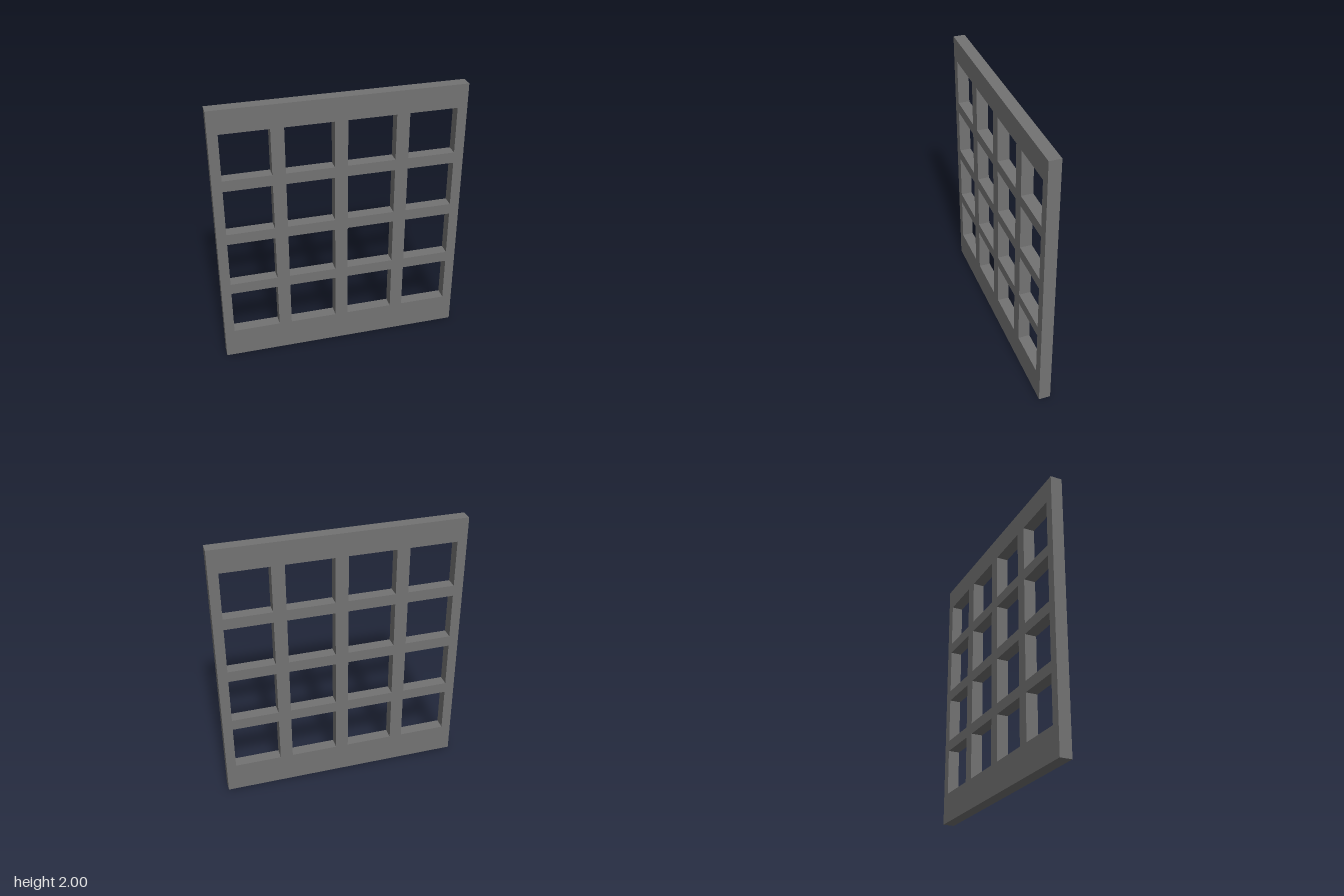
import * as THREE from 'three';

const WIDTH = 1.784, HEIGHT = 2, DEPTH = 0.085;
const HOLE = 0.341;          // side of each square opening
const STEP_X = 0.434, STEP_Y = 0.4223;
const FIRST_Y = 0.392;       // centre height of the lowest row

// Closed rectangle around a centre point
function rectangle(target, cx, cy, w, h) {
  target.moveTo(cx - w / 2, cy - h / 2);
  target.lineTo(cx + w / 2, cy - h / 2);
  target.lineTo(cx + w / 2, cy + h / 2);
  target.lineTo(cx - w / 2, cy + h / 2);
  target.closePath();
  return target;
}

export function createModel() {
  const model = new THREE.Group();
  model.name = 'windowLattice';

  // Solid panel with a 4 x 4 grid of square openings
  const panel = rectangle(new THREE.Shape(), 0, HEIGHT / 2, WIDTH, HEIGHT);
  for (let row = 0; row < 4; row++) {
    for (let col = 0; col < 4; col++) {
      const x = (col - 1.5) * STEP_X;
      const y = FIRST_Y + row * STEP_Y;
      panel.holes.push(rectangle(new THREE.Path(), x, y, HOLE, HOLE));
    }
  }

  const geometry = new THREE.ExtrudeGeometry(panel, { depth: DEPTH, bevelEnabled: false });
  geometry.translate(0, 0, -DEPTH / 2);

  // Dark grey frame
  const frame = new THREE.Mesh(geometry, new THREE.MeshStandardMaterial({ color: 0x737373 }));
  frame.name = 'latticeFrame';
  model.add(frame);
  return model;
}
